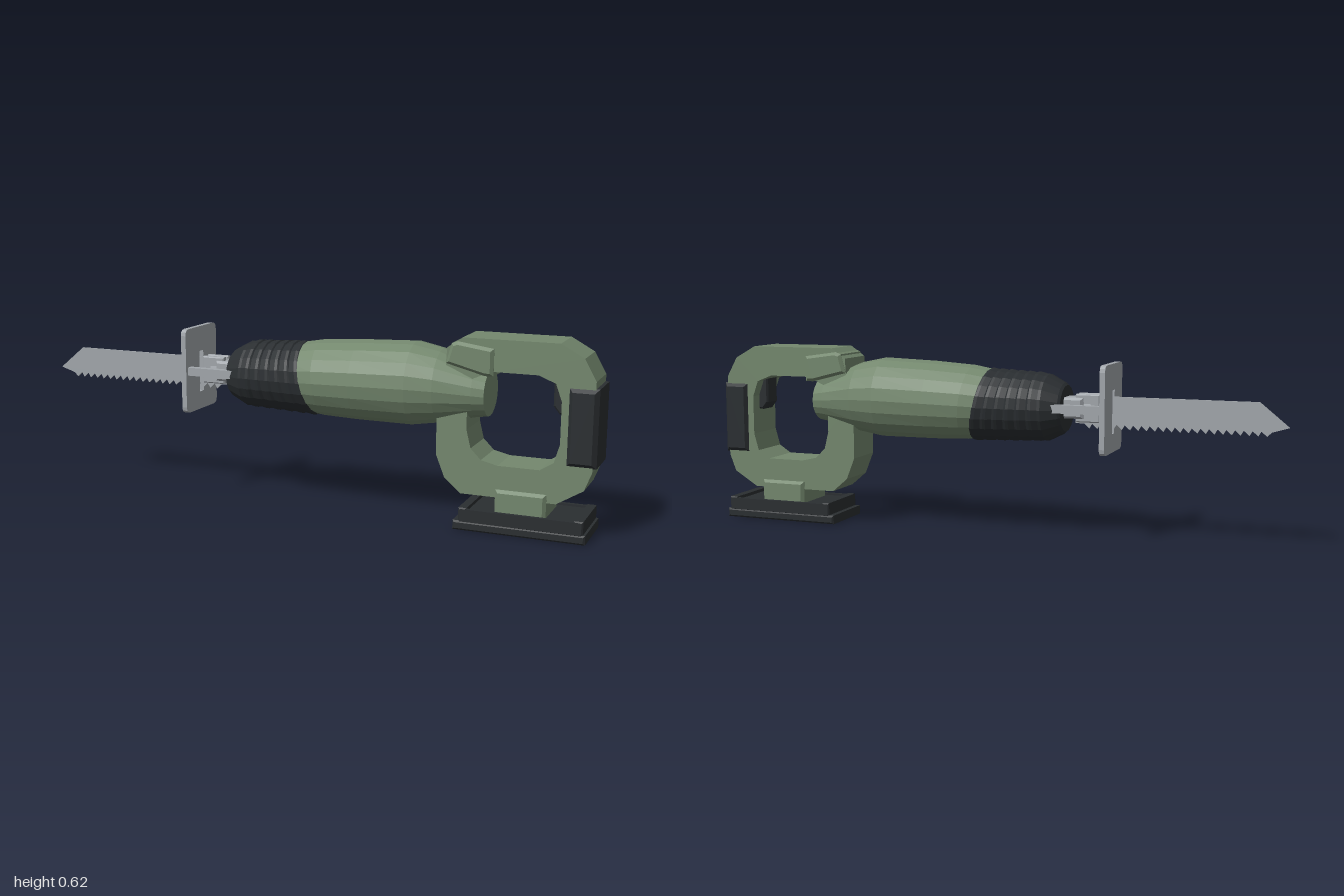
import * as THREE from 'three';

const mat = (color) => new THREE.MeshStandardMaterial({ color, flatShading: true, side: THREE.DoubleSide });
const GREEN = mat(0x74886e), DARK = mat(0x2a2e31), METAL = mat(0xa2a7ac);

export function createModel() {
  const root = new THREE.Group();

  const add = (name, geometry, material) => {
    const mesh = new THREE.Mesh(geometry, material);
    mesh.name = name;
    root.add(mesh);
    return mesh;
  };

  // Prism of an outline in the xy plane, chamfered, spanning z0..z1
  const prism = (points, z0, z1, bevel = 0) => {
    const shape = new THREE.Shape(points.map(([x, y]) => new THREE.Vector2(x, y)));
    const geo = new THREE.ExtrudeGeometry(shape, {
      depth: z1 - z0 - 2 * bevel, bevelEnabled: bevel > 0, bevelSize: bevel,
      bevelThickness: bevel, bevelOffset: -bevel, bevelSegments: 1,
    });
    return geo.translate(0, 0, z0 + bevel);
  };
  const block = (x0, x1, y0, y1, z0, z1, bevel = 0) =>
    prism([[x0, y0], [x1, y0], [x1, y1], [x0, y1]], z0, z1, bevel);

  // Closed loft along x; each section is [x, centreY, radiusY, radiusZ, slant]
  const loft = (sections, sides = 20) => {
    const pos = [], idx = [], n = sections.length;
    for (const [x, cy, ry, rz, slant = 0] of sections)
      for (let j = 0; j < sides; j++) {
        const a = (j / sides) * Math.PI * 2;
        pos.push(x - slant * ry * Math.sin(a), cy + ry * Math.sin(a), rz * Math.cos(a));
      }
    for (let i = 0; i < n - 1; i++)
      for (let j = 0; j < sides; j++) {
        const k = (j + 1) % sides, a = i * sides + j, b = i * sides + k;
        idx.push(a, b, a + sides, b, b + sides, a + sides);
      }
    for (let j = 1; j < sides - 1; j++) {
      const e = (n - 1) * sides;
      idx.push(0, j + 1, j, e, e + j, e + j + 1);
    }
    const geo = new THREE.BufferGeometry();
    geo.setAttribute('position', new THREE.Float32BufferAttribute(pos, 3));
    geo.setIndex(idx);
    geo.computeVertexNormals();
    return geo;
  };

  // Motor housing
  add('motorHousing', loft([
    [-0.02, 0.438, 0.115, 0.122, 0.2], [0.07, 0.443, 0.128, 0.138, 0.1],
    [0.2, 0.446, 0.135, 0.14], [0.39, 0.449, 0.139, 0.136],
    [0.48, 0.447, 0.122, 0.124], [0.6, 0.438, 0.085, 0.097], [0.64, 0.435, 0.076, 0.085],
  ]), GREEN);

  // Ribbed rubber boot with a slanted rear edge
  const ribs = [[-0.27, 0.435, 0.078, 0.085], [-0.262, 0.435, 0.086, 0.092], [-0.21, 0.436, 0.113, 0.116]];
  for (let i = 0; i < 6; i++) {
    const x = -0.2 + i * 0.038, r = 0.117 + i * 0.0016, slant = i * 0.04;
    ribs.push([x, 0.437, r - 0.005, r, slant], [x + 0.02, 0.438, r, r + 0.005, slant],
      [x + 0.03, 0.438, r, r + 0.005, slant]);
  }
  ribs.push([0.028, 0.438, 0.12, 0.128, 0.22]);
  add('rubberBoot', loft(ribs), DARK);

  // D-shaped handle, open where the housing plugs in
  add('handle', prism([
    [0.51, 0.5], [0.515, 0.585], [0.565, 0.62], [0.875, 0.62], [0.95, 0.578], [0.988, 0.51],
    [0.988, 0.225], [0.965, 0.165], [0.88, 0.113], [0.57, 0.113], [0.515, 0.16], [0.485, 0.235],
    [0.485, 0.43], [0.585, 0.43], [0.585, 0.325], [0.6, 0.265], [0.635, 0.23], [0.69, 0.217],
    [0.825, 0.217], [0.868, 0.245], [0.885, 0.305], [0.885, 0.44], [0.865, 0.495], [0.81, 0.517],
    [0.66, 0.517], [0.6, 0.49],
  ], -0.076, 0.076), GREEN);
  add('handleCollar', prism([
    [0.512, 0.535], [0.53, 0.6], [0.55, 0.607], [0.668, 0.59], [0.668, 0.502], [0.64, 0.502],
  ], -0.087, 0.087, 0.01), GREEN);
  add('rearGrip', block(0.905, 1, 0.237, 0.487, -0.087, 0.087, 0.014), DARK);
  add('trigger', prism([
    [0.85, 0.505], [0.85, 0.415], [0.87, 0.39], [0.9, 0.39], [0.9, 0.505],
  ], -0.035, 0.035, 0.006), DARK);

  // Battery mount and pack
  add('batteryMount', block(0.685, 0.85, 0.05, 0.14, -0.087, 0.087, 0.01), GREEN);
  add('batteryBase', block(0.555, 0.982, 0, 0.031, -0.11, 0.11, 0.006), DARK);
  add('batteryTop', block(0.575, 0.972, 0.025, 0.063, -0.107, 0.107, 0.004), DARK);
  for (const [x0, x1] of [[0.573, 0.6], [0.945, 0.974]])
    add('batteryLip', block(x0, x1, 0.028, 0.074, -0.107, 0.107, 0.005), DARK);
  for (const s of [-1, 1])
    add('batteryRail', block(0.58, 0.965, 0.03, 0.07, s * 0.1 - 0.007, s * 0.1 + 0.007), DARK);

  // Saw blade with teeth along the lower edge
  const blade = [[-0.3, 0.48], [-0.905, 0.48], [-1, 0.402], [-0.945, 0.385]];
  const teeth = 22, pitch = 0.61 / teeth;
  for (let i = 0; i < teeth; i++) {
    const x = -0.94 + i * pitch;
    blade.push([x + pitch * 0.35, 0.371], [x + pitch, 0.387]);
  }
  blade.push([-0.3, 0.387]);
  add('blade', prism(blade, -0.003, 0.003), METAL);

  // Shoe plate with a slot for the blade
  const corner = 0.022, w = 0.11, h = 0.147;
  const plate = new THREE.Shape();
  plate.moveTo(-w + corner, -h);
  for (const [sx, sy] of [[1, -1], [1, 1], [-1, 1], [-1, -1]]) {
    const alongX = sx === -sy;
    const a = [sx * (w - corner), sy * h], b = [sx * w, sy * (h - corner)];
    const [p, q] = alongX ? [a, b] : [b, a];
    plate.lineTo(...p);
    plate.quadraticCurveTo(sx * w, sy * h, ...q);
  }
  plate.holes.push(new THREE.Path([[-0.014, -0.085], [-0.014, 0.06], [0.014, 0.06], [0.014, -0.085]]
    .map(([x, y]) => new THREE.Vector2(x, y))));
  const shoe = new THREE.ExtrudeGeometry(plate, { depth: 0.018, bevelEnabled: false, curveSegments: 3 });
  add('shoePlate', shoe.rotateY(Math.PI / 2).translate(-0.429, 0.442, 0), METAL);

  // Shoe struts, blade clamp and drive shaft
  for (const s of [-1, 1])
    add('shoeStrut', block(-0.415, -0.2, 0.428, 0.456, s * 0.086 - 0.012, s * 0.086 + 0.012), METAL);
  for (const s of [-1, 1])
    add('clampJaw', block(-0.39, -0.308, 0.393, 0.487, s * 0.017 - 0.011, s * 0.017 + 0.011, 0.004), METAL);
  add('clampBody', block(-0.335, -0.25, 0.405, 0.475, -0.04, 0.04, 0.008), METAL);
  const shaft = new THREE.CylinderGeometry(0.032, 0.032, 0.14, 12).rotateZ(Math.PI / 2);
  add('driveShaft', shaft.translate(-0.29, 0.44, 0), METAL);

  return root;
}
